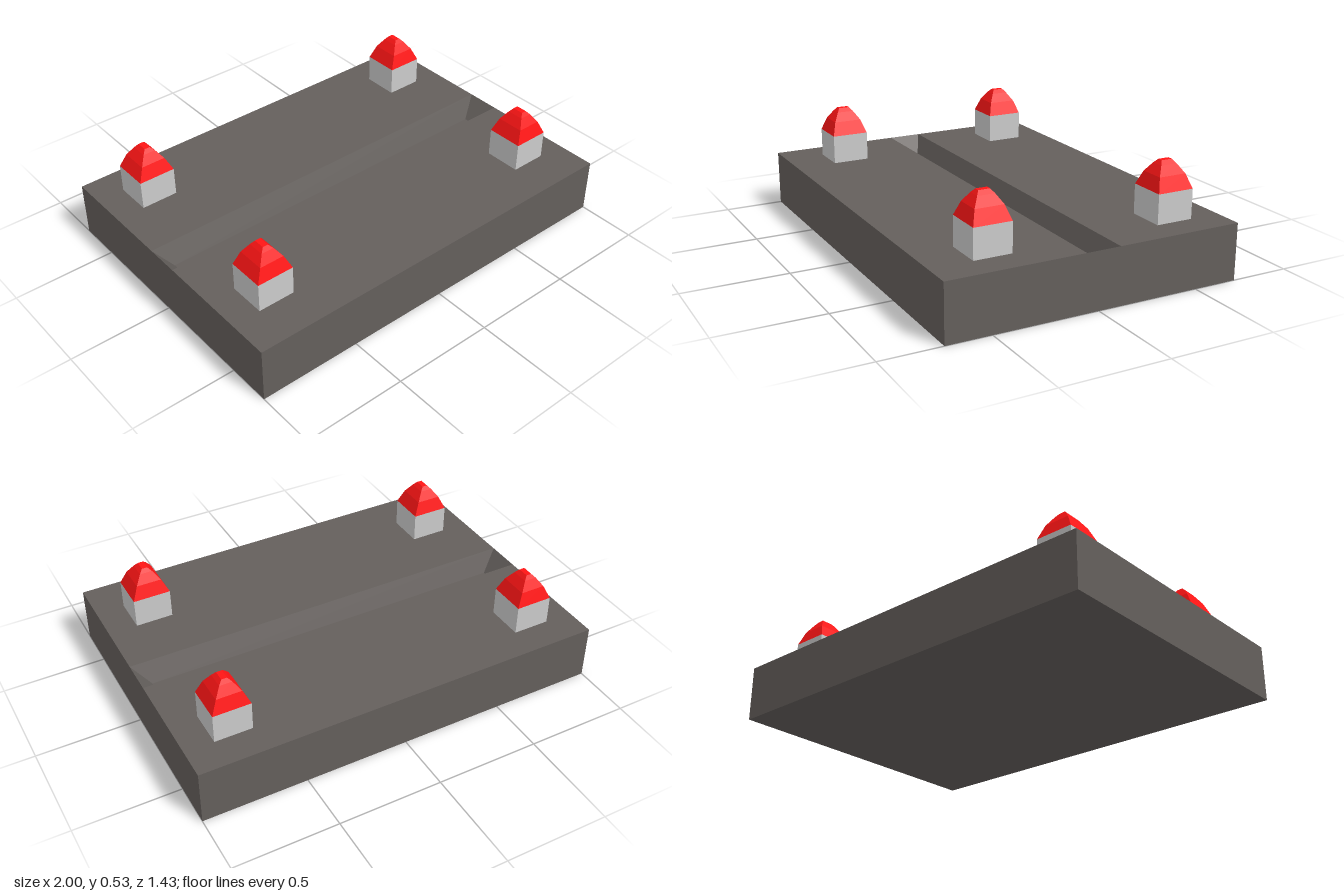
import * as THREE from 'three';

// Skins a stack of rectangles [x0, x1, z0, z1, y], closed at both ends.
function loftRectangles(rings) {
  const pos = [];
  const corners = rings.map(([x0, x1, z0, z1, y]) => [
    [x0, y, z1], [x1, y, z1], [x1, y, z0], [x0, y, z0],
  ]);
  const quad = (a, b, c, d) => pos.push(...a, ...b, ...c, ...a, ...c, ...d);
  for (let i = 0; i < corners.length - 1; i++) {
    const lo = corners[i], hi = corners[i + 1];
    for (let j = 0; j < 4; j++) {
      const k = (j + 1) % 4;
      quad(lo[j], lo[k], hi[k], hi[j]);
    }
  }
  const first = corners[0], last = corners[corners.length - 1];
  quad(first[3], first[2], first[1], first[0]);
  quad(...last);
  const geo = new THREE.BufferGeometry();
  geo.setAttribute('position', new THREE.Float32BufferAttribute(pos, 3));
  geo.computeVertexNormals();
  return geo;
}

export function createModel() {
  const model = new THREE.Group();
  const slabMat = new THREE.MeshStandardMaterial({ color: 0x645f5c, flatShading: true });
  const postMat = new THREE.MeshStandardMaterial({ color: 0xcccccc, flatShading: true });
  const capMat = new THREE.MeshStandardMaterial({ color: 0xff1515, flatShading: true });

  const add = (parent, name, geo, mat) => {
    const mesh = new THREE.Mesh(geo, mat);
    mesh.name = name;
    parent.add(mesh);
    return mesh;
  };

  // Slab with a tapered trough across its top
  const top = 0.27;
  add(model, 'slab', loftRectangles([
    [-1, 1, -0.713, 0.713, 0],
    [-1, 1, -0.713, 0.713, top],
    [-1, 1, -0.1, 0.066, top],
    [-0.917, 0.917, -0.055, 0.021, top - 0.1],
  ]), slabMat);

  // Four square posts with stepped red caps
  const postGeo = new THREE.BoxGeometry(0.18, 0.14, 0.18).translate(0, 0.07, 0);
  const capProfile = [ // half width, half depth, height
    [0.09, 0.09, 0.14], [0.06, 0.068, 0.205], [0.03, 0.041, 0.247], [0.013, 0.027, 0.265],
  ];
  const capGeo = loftRectangles(capProfile.map(([w, d, y]) => [-w, w, -d, d, y]));
  for (const [side, x] of [['left', 0.772], ['right', -0.772]]) {
    for (const [end, z] of [['Front', 0.425], ['Back', -0.475]]) {
      const post = new THREE.Group();
      post.name = `${side}${end}Post`;
      post.position.set(x, top, z);
      add(post, 'postBody', postGeo, postMat);
      add(post, 'postCap', capGeo, capMat);
      model.add(post);
    }
  }
  return model;
}
